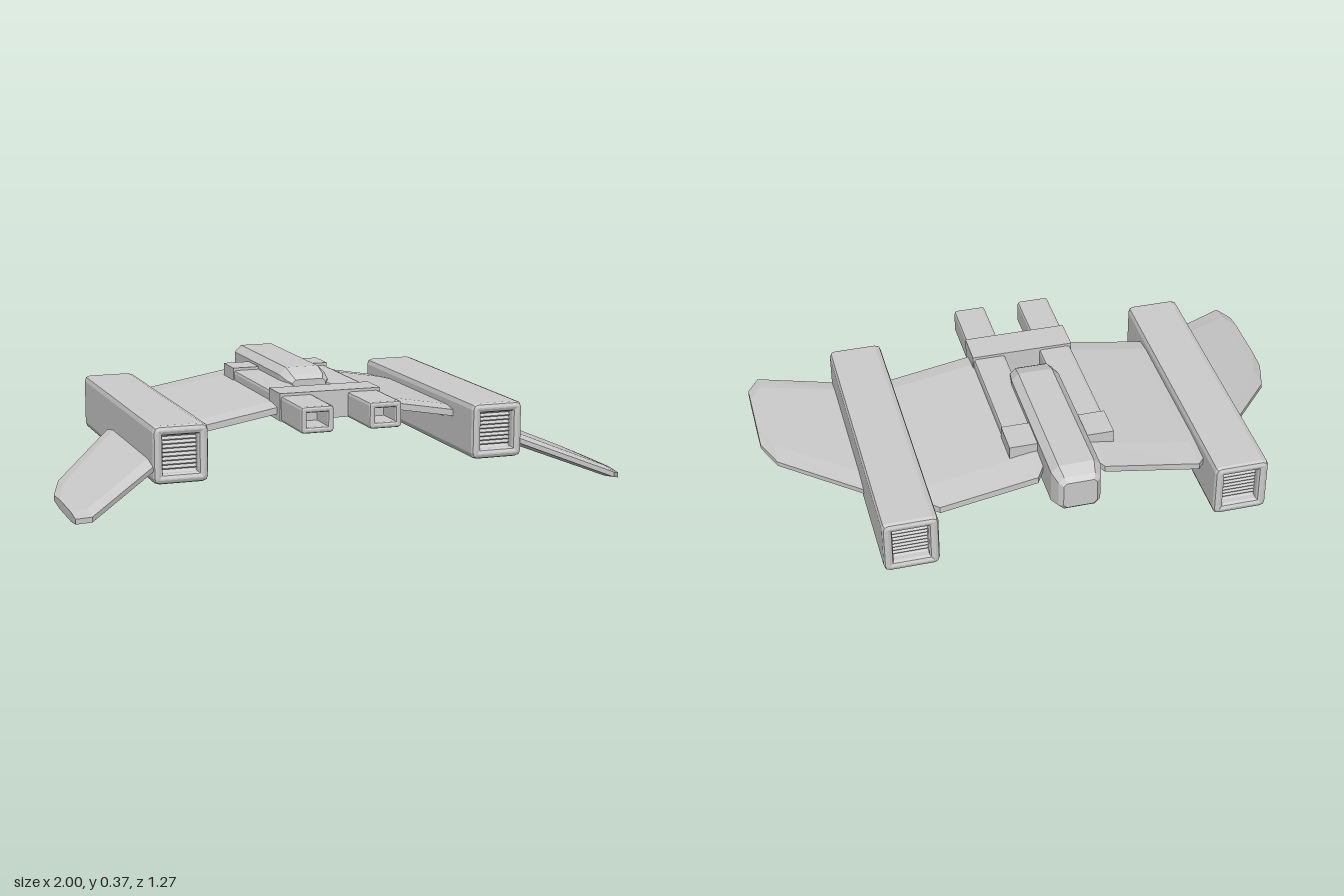
import * as THREE from 'three';

const material = new THREE.MeshStandardMaterial({ color: 0xcccccc, flatShading: true });

function add(parent, name, geometry, x = 0, y = 0, z = 0) {
  const mesh = new THREE.Mesh(geometry, material);
  mesh.name = name;
  mesh.position.set(x, y, z);
  parent.add(mesh);
  return mesh;
}

// Skin over a row of equal-length convex rings, closed at both ends
function loft(rings) {
  const n = rings[0].length;
  const index = [];
  rings.slice(1).forEach((_, r) => {
    for (let i = 0; i < n; i++) {
      const a = r * n + i, b = r * n + (i + 1) % n;
      index.push(a, b, b + n, a, b + n, a + n);
    }
  });
  const last = (rings.length - 1) * n;
  for (let i = 1; i < n - 1; i++) {
    index.push(0, i + 1, i, last, last + i, last + i + 1);
  }
  const geometry = new THREE.BufferGeometry();
  geometry.setAttribute('position', new THREE.Float32BufferAttribute(rings.flat(2), 3));
  geometry.setIndex(index);
  const flat = geometry.toNonIndexed();
  flat.computeVertexNormals();
  return flat;
}

// Wing from stations [x, back z, front z, bottom y, top y], thinned at both edges
function wing(stations, backTaper, frontTaper, edge, side) {
  return loft(stations.map(([x, zb, zf, y0, y1]) => {
    const mid = (y0 + y1) / 2;
    const ring = [
      [zb, mid - edge], [zb, mid + edge], [zb + backTaper, y1], [zf - frontTaper, y1],
      [zf, mid + edge], [zf, mid - edge], [zf - frontTaper, y0], [zb + backTaper, y0],
    ].map(([z, y]) => [x * side, y, z]);
    return side < 0 ? ring.reverse() : ring;
  }));
}

// Rectangular tube along z with bevelled rims, centred on its origin
function tube(w, h, length, wall, bevel) {
  const rect = (a, b, Type) => new Type([
    new THREE.Vector2(-a, -b), new THREE.Vector2(a, -b),
    new THREE.Vector2(a, b), new THREE.Vector2(-a, b),
  ]);
  const c = bevel * 0.6;
  const a = w / 2 - bevel, b = h / 2 - bevel;
  const shape = new THREE.Shape();
  shape.moveTo(-a + c, -b).lineTo(a - c, -b).quadraticCurveTo(a, -b, a, -b + c);
  shape.lineTo(a, b - c).quadraticCurveTo(a, b, a - c, b);
  shape.lineTo(-a + c, b).quadraticCurveTo(-a, b, -a, b - c);
  shape.lineTo(-a, -b + c).quadraticCurveTo(-a, -b, -a + c, -b);
  shape.holes.push(rect(w / 2 - wall + bevel * 0.4, h / 2 - wall + bevel * 0.4, THREE.Path));
  return new THREE.ExtrudeGeometry(shape, {
    depth: length - 2 * bevel, bevelEnabled: true, bevelThickness: bevel,
    bevelSize: bevel, bevelOffset: 0, bevelSegments: 2, curveSegments: 2,
  }).translate(0, 0, bevel - length / 2);
}

// Engine pod: open-ended box with a louvred grille at each end
function enginePod(side) {
  const pod = new THREE.Group();
  pod.name = side > 0 ? 'leftEnginePod' : 'rightEnginePod';
  pod.position.set(0.593 * side, 0.18, -0.107);
  add(pod, 'podShell', tube(0.196, 0.204, 1.055, 0.026, 0.015));
  add(pod, 'podCore', new THREE.BoxGeometry(0.16, 0.17, 0.95));
  for (const end of [-1, 1]) {
    for (let i = 0; i < 10; i++) {
      const slat = add(pod, 'grilleSlat', new THREE.BoxGeometry(0.15, 0.005, 0.018),
        0, -0.065 + i * 0.0145, end * 0.484);
      slat.rotation.x = end * 0.5;
    }
  }
  return pod;
}

export function createModel() {
  const model = new THREE.Group();
  model.name = 'spacecraft';

  // Central body, sections [z, half width, bottom, top, corner cut]
  const body = [
    [-0.64, 0.06, 0.235, 0.34, 0.012],
    [-0.625, 0.075, 0.22, 0.357, 0.02],
    [-0.58, 0.089, 0.202, 0.376, 0.026],
    [-0.03, 0.089, 0.202, 0.376, 0.026],
    [0.03, 0.08, 0.215, 0.357, 0.02],
    [0.052, 0.065, 0.23, 0.342, 0.012],
  ];
  add(model, 'centralBody', loft(body.map(([z, w, y0, y1, c]) => [
    [-w + c, y0, z], [w - c, y0, z], [w, y0 + c, z], [w, y1 - c, z],
    [w - c, y1, z], [-w + c, y1, z], [-w, y1 - c, z], [-w, y0 + c, z],
  ])));

  // Cross straps over the booms
  for (const z of [0.218, -0.338]) {
    add(model, 'crossStrap', new THREE.BoxGeometry(0.38, 0.1, 0.123), 0, 0.29, z);
  }

  for (const side of [1, -1]) {
    const label = side > 0 ? 'left' : 'right';

    // Hollow boom with a plug behind its mouth
    add(model, label + 'Boom', tube(0.12, 0.094, 0.88, 0.017, 0.008), 0.126 * side, 0.283, 0.055);
    add(model, label + 'BoomPlug', new THREE.BoxGeometry(0.1, 0.075, 0.74), 0.126 * side, 0.283, 0.01);

    // Inner wing between body and pod
    add(model, label + 'InnerWing', wing([
      [0.09, -0.48, 0.245, 0.268, 0.31],
      [0.12, -0.53, 0.245, 0.263, 0.305],
      [0.47, -0.53, 0.245, 0.202, 0.245],
      [0.51, -0.48, 0.245, 0.195, 0.238],
    ], 0.12, 0.065, 0.012, side));

    add(model, label + 'EnginePodMount', new THREE.BoxGeometry(0.03, 0.045, 0.6), 0.505 * side, 0.215, -0.14);
    model.add(enginePod(side));

    // Outer wing sweeping forward and down
    add(model, label + 'OuterWing', wing([
      [0.68, -0.27, 0.40, 0.112, 0.16],
      [0.955, 0.10, 0.635, 0.016, 0.055],
      [1.0, 0.24, 0.585, 0.003, 0.036],
    ], 0.09, 0.07, 0.009, side));
  }
  return model;
}
